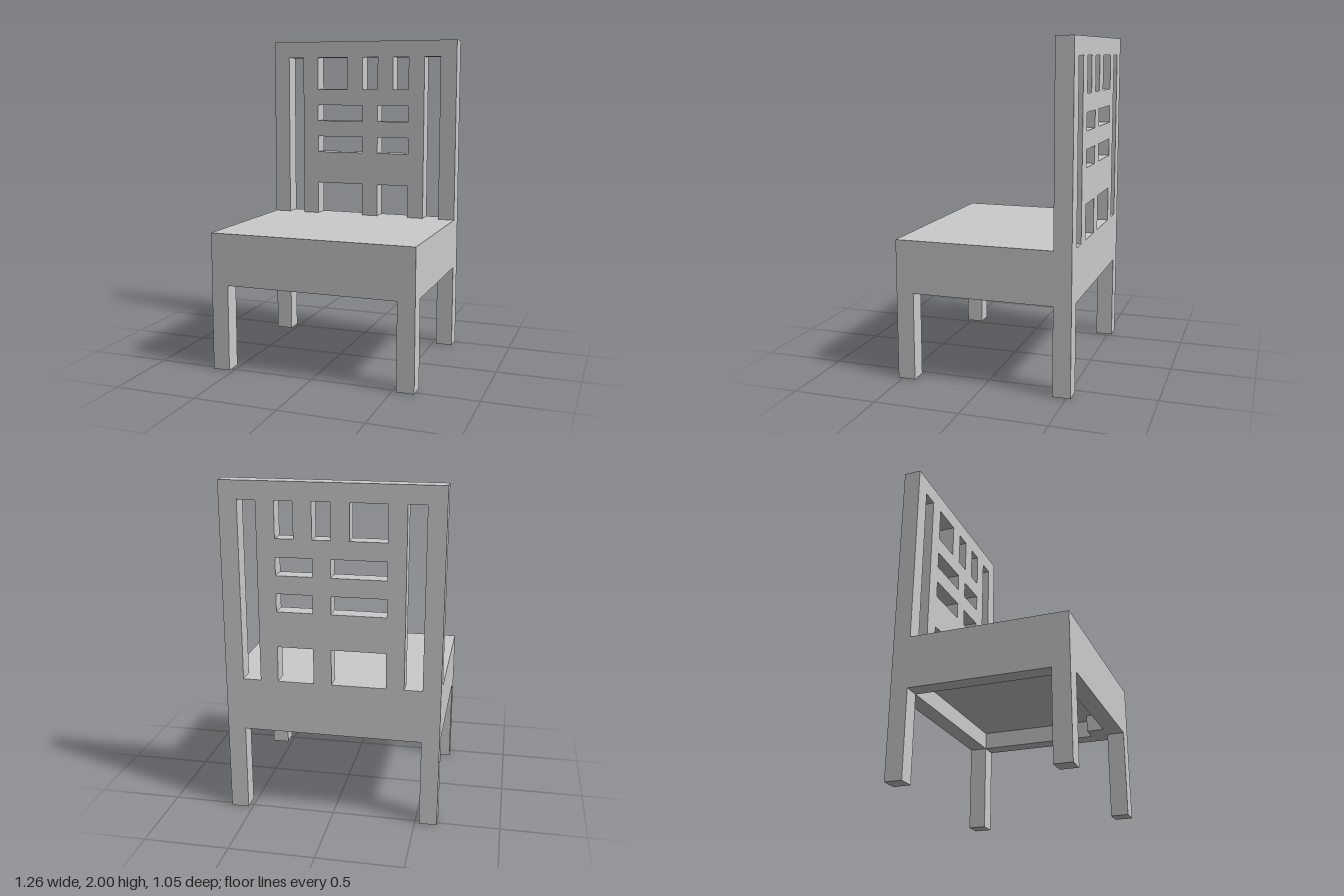
import * as THREE from 'three';

// The chair sits on a cubic grid: 19 cells tall, 12 wide, 10 deep.
const U = 2 / 19;
const material = new THREE.MeshStandardMaterial({ color: 0xcccccc, flatShading: true });

const points = (list) => list.map(([x, y]) => new THREE.Vector2(x * U, y * U));
const rect = (x0, x1, y0, y1) => [[x0, y0], [x1, y0], [x1, y1], [x0, y1]];

// One-cell-thick plate with cut-outs
function plate(outline, holes) {
  const shape = new THREE.Shape(points(outline));
  for (const hole of holes) shape.holes.push(new THREE.Path(points(hole)));
  return new THREE.ExtrudeGeometry(shape, { depth: U, bevelEnabled: false });
}

function box(x0, x1, y0, y1, z0, z1) {
  return new THREE.BoxGeometry((x1 - x0) * U, (y1 - y0) * U, (z1 - z0) * U)
    .translate((x0 + x1) / 2 * U, (y0 + y1) / 2 * U, (z0 + z1) / 2 * U);
}

export function createModel() {
  const group = new THREE.Group();
  const add = (name, geometry) => {
    const mesh = new THREE.Mesh(geometry, material);
    mesh.name = name;
    group.add(mesh);
  };

  // Seat slab in front of the backrest
  add('seat', box(-6, 6, 6, 8, -4, 5));

  // Apron rim under the seat, with one inner corner filled in
  const recess = [[-5, -4], [5, -4], [5, 3], [4, 3], [4, 4], [-5, 4]];
  add('apron', plate(rect(-6, 6, -5, 5), [recess]).rotateX(Math.PI / 2).translate(0, 6 * U, 0));

  // Backrest lattice
  const openings = [
    rect(-5, -4, 8, 18), rect(4, 5, 8, 18),                        // tall side slots
    rect(-3, -1, 16, 18), rect(0, 1, 16, 18), rect(2, 3, 16, 18),  // top row
  ];
  for (const [y0, y1] of [[14, 15], [12, 13], [8, 10]]) {
    openings.push(rect(-3, 0, y0, y1), rect(1, 3, y0, y1));
  }
  add('backrest', plate(rect(-6, 6, 6, 19), openings).translate(0, 0, -5 * U));

  // Four square legs
  for (const [side, x] of [['left', 5], ['right', -6]]) {
    add(side + 'FrontLeg', box(x, x + 1, 0, 5, 4, 5));
    add(side + 'BackLeg', box(x, x + 1, 0, 5, -5, -4));
  }
  return group;
}
